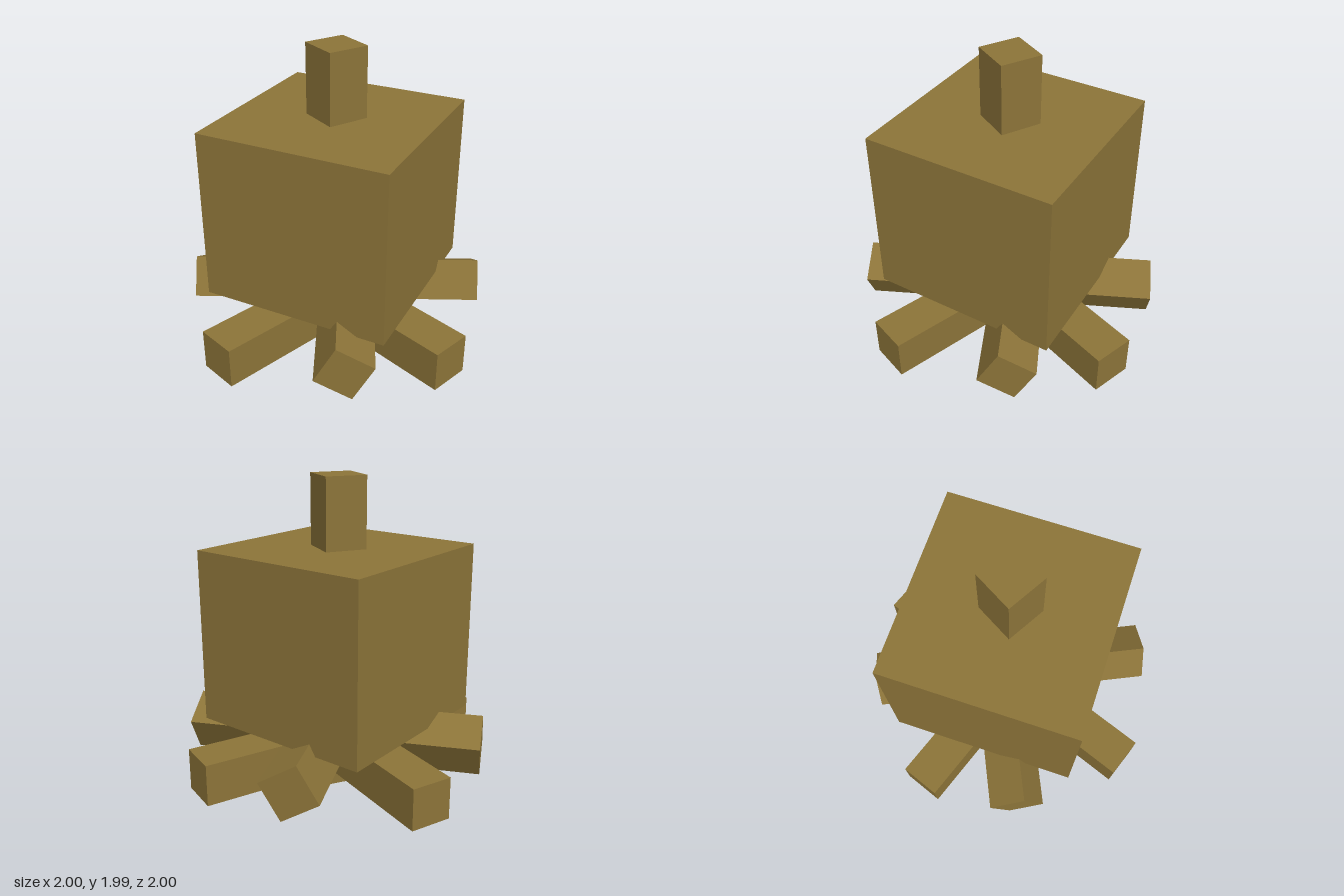
import * as THREE from 'three';

const deg = THREE.MathUtils.degToRad;

export function createModel() {
  const model = new THREE.Group();
  const wood = new THREE.MeshStandardMaterial({ color: 0x8c7439 });
  wood.name = 'brown wood';

  function block(name, w, h, d, y, yaw = 0, roll = 0) {
    const mesh = new THREE.Mesh(new THREE.BoxGeometry(w, h, d), wood);
    mesh.name = name;
    mesh.position.y = y;
    mesh.rotation.set(deg(roll), deg(yaw), 0, 'YXZ');
    model.add(mesh);
    return mesh;
  }

  // Upright post running through everything
  block('centrePost', 0.262, 1.985, 0.262, 0.9975);

  // Large turned block
  block('mainBlock', 1.21, 1.095, 1.21, 0.9975, 30);

  // Two crossed pairs of beams: flat ones, and rolled ones set off-centre
  for (const turn of [0, -90]) {
    block('flatBeam', 1.982, 0.262, 0.262, 0.247, 10 + turn);
    const rolled = block('rolledBeam', 1.87, 0.262, 0.262, 0.34, -35 + turn, -30);
    const yaw = deg(-35 + turn);
    rolled.position.x = -0.067 * Math.sin(yaw);
    rolled.position.z = -0.067 * Math.cos(yaw);
  }

  return model;
}
